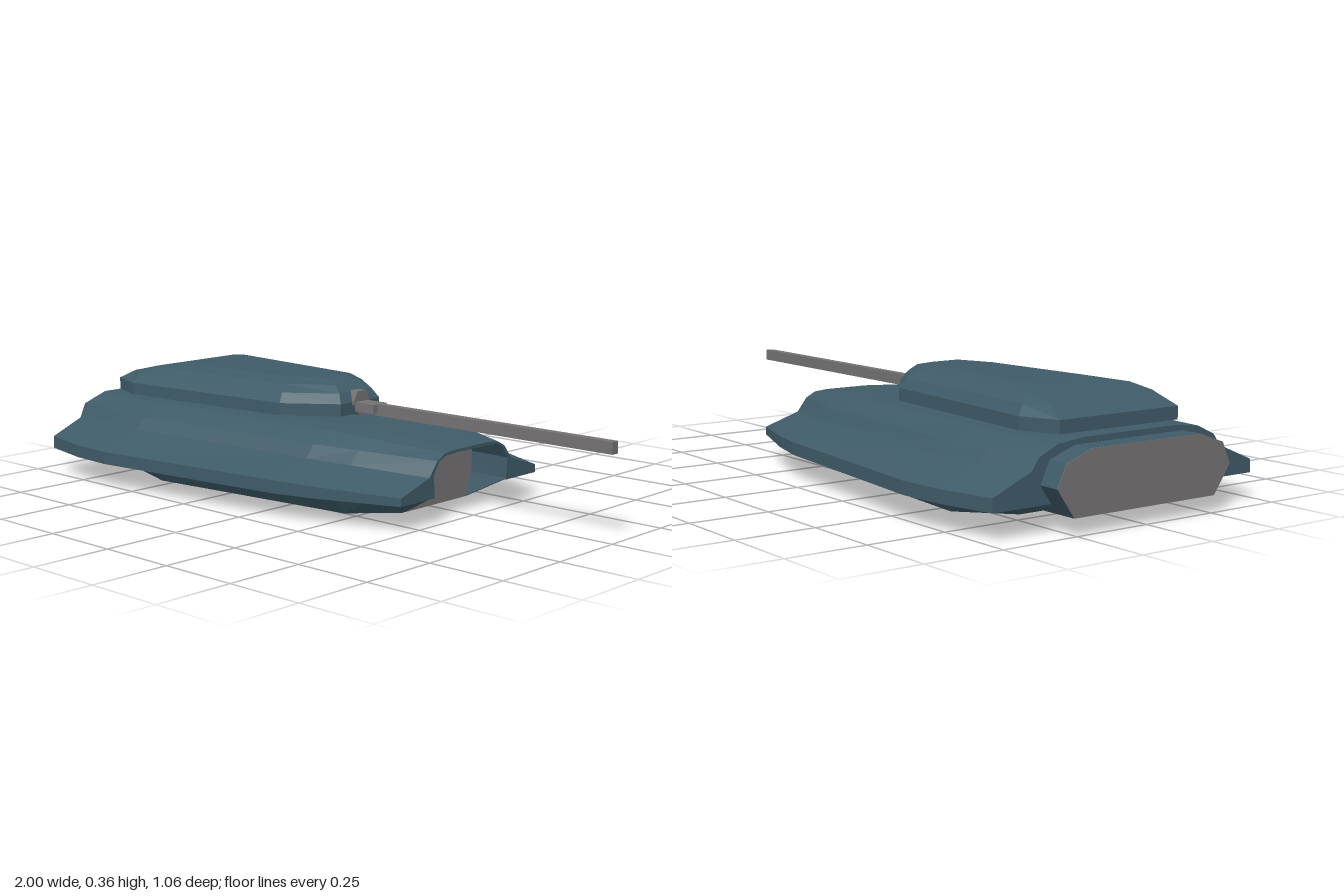
import * as THREE from 'three';

const armour = new THREE.MeshStandardMaterial({ color: 0x3f5b68, flatShading: true, side: THREE.DoubleSide });
armour.name = 'blue grey armour';
const metal = new THREE.MeshStandardMaterial({ color: 0x747272, flatShading: true, side: THREE.DoubleSide });
metal.name = 'grey metal';

// Skins a list of cross-sections (arrays of [x, y, z]) with flat faces.
function loft(sections, { closed = false, capStart = false, capEnd = false } = {}) {
  const pos = [];
  const tri = (a, b, c) => pos.push(...a, ...b, ...c);
  const n = sections[0].length;
  for (let i = 0; i < sections.length - 1; i++) {
    for (let j = 0; j < (closed ? n : n - 1); j++) {
      const k = (j + 1) % n;
      const a = sections[i][j], b = sections[i + 1][j], d = sections[i + 1][k], c = sections[i][k];
      tri(a, b, d);
      tri(a, d, c);
    }
  }
  const first = sections[0], last = sections[sections.length - 1];
  for (let j = 1; j < n - 1; j++) {
    if (capStart) tri(first[0], first[j], first[j + 1]);
    if (capEnd) tri(last[0], last[j + 1], last[j]);
  }
  const geo = new THREE.BufferGeometry();
  geo.setAttribute('position', new THREE.Float32BufferAttribute(pos, 3));
  geo.computeVertexNormals();
  return geo;
}

// Cross-section at x from [z, y] points on the left half, mirrored to the right.
function section(x, half) {
  const left = half.map(([z, y]) => [x, y, z]);
  const right = half.map(([z, y]) => [x, y, -z]).reverse();
  return [...left, ...right];
}

// Same, but running right to left, for undersides.
const underSection = (x, half) => section(x, half).reverse();

export function createModel() {
  const model = new THREE.Group();
  const add = (name, geo, mat, x = 0, y = 0, z = 0) => {
    const mesh = new THREE.Mesh(geo, mat);
    mesh.name = name;
    mesh.position.set(x, y, z);
    model.add(mesh);
    return mesh;
  };

  // Upper hull: [x, skirt half width, skirt edge height, shoulder points]
  const stations = [
    [-0.93, 0.48, 0.12, [[0.35, 0.175], [0.325, 0.21], [0.26, 0.24], [0.17, 0.25]]],
    [-0.75, 0.52, 0.12, [[0.38, 0.175], [0.355, 0.21], [0.265, 0.243], [0.19, 0.25]]],
    [-0.6, 0.53, 0.12, [[0.39, 0.175], [0.36, 0.21], [0.27, 0.245], [0.19, 0.25]]],
    [0.1, 0.45, 0.12, [[0.31, 0.165], [0.28, 0.205], [0.22, 0.24], [0.15, 0.249]]],
    [0.25, 0.41, 0.115, [[0.275, 0.16], [0.24, 0.2], [0.19, 0.23], [0.13, 0.24]]],
    [0.49, 0.32, 0.105, [[0.195, 0.145], [0.16, 0.19], [0.125, 0.208], [0.08, 0.212]]],
  ];
  const hull = stations.map(([x, w, edge, shoulder]) =>
    section(x, [[0.17, 0.08], [w, 0.08], [w, edge], ...shoulder]));
  // The skin turns inward at the nose to form the intake tunnel
  const arch = [[0.17, 0.08], [0.17, 0.08], [0.172, 0.1], [0.175, 0.15], [0.15, 0.188], [0.12, 0.2], [0.07, 0.203]];
  hull.push(section(0.49, arch), section(0.35, arch));
  add('upperHull', loft(hull, { capStart: true }), armour);

  // Lower hull: [x, top half width, bottom half width, bottom height]
  const belly = [
    [-0.89, 0.33, 0.31, 0.075],
    [-0.82, 0.36, 0.3, 0.035],
    [-0.55, 0.39, 0.33, 0],
    [0.2, 0.32, 0.25, 0],
    [0.35, 0.255, 0.155, 0.01],
  ].map(([x, top, bottom, y]) => underSection(x, [[bottom, y], [top, 0.085]].reverse()));
  add('lowerHull', loft(belly, { capStart: true }), armour);

  // Cheeks either side of the intake
  const cheekBack = [[0.17, 0.085], [0.14, 0.01], [0.155, 0.01], [0.255, 0.085]];
  const cheekTip = [[0.17, 0.085], [0.17, 0.085], [0.19, 0.085], [0.19, 0.085]];
  for (const [name, side] of [['leftCheek', 1], ['rightCheek', -1]]) {
    const place = (x, pts) => {
      const row = pts.map(([z, y]) => [x, y, z * side]);
      return side > 0 ? row : row.reverse();
    };
    add(name, loft([place(0.35, cheekBack), place(0.49, cheekTip)]), armour);
  }

  // Intake back plate
  const plate = new THREE.Shape(
    [[0.14, 0.01], ...arch.slice(1)].map(([z, y]) => new THREE.Vector2(z, y))
      .concat([[0.14, 0.01], ...arch.slice(1)].reverse().map(([z, y]) => new THREE.Vector2(-z, y))));
  const intake = add('intakePlate', new THREE.ShapeGeometry(plate), metal, 0.352, 0, 0);
  intake.rotation.y = Math.PI / 2;

  // Rear engine pod with its grey end face
  const podHalf = [[0.26, 0.05], [0.32, 0.135], [0.29, 0.2], [0.2, 0.232]];
  add('enginePod', loft([section(-0.998, podHalf), section(-0.85, podHalf)], { closed: true }), armour);
  add('exhaustPlate', loft([section(-1, podHalf), section(-0.998, podHalf)],
    { closed: true, capStart: true }), metal);

  // Turret: stacked outlines, [height, left half corners as [x, z] from front to rear]
  const base = [[0.035, 0.09], [-0.12, 0.205], [-0.77, 0.265], [-0.89, 0.22]];
  const ring = (y, pts) => [
    ...pts.map(([x, z]) => [x, y, z]),
    ...pts.map(([x, z]) => [x, y, -z]).reverse(),
  ];
  const turret = [
    ring(0.256, base),
    ring(0.295, base),
    ring(0.325, [[0.015, 0.075], [-0.13, 0.185], [-0.76, 0.243], [-0.83, 0.2]]),
    ring(0.347, [[-0.015, 0.06], [-0.15, 0.15], [-0.71, 0.2], [-0.74, 0.17]]),
    ring(0.36, [[-0.08, 0.05], [-0.2, 0.095], [-0.58, 0.125], [-0.61, 0.11]]),
  ];
  add('turret', loft(turret, { closed: true, capStart: true, capEnd: true }), armour);

  // Thin bearing plate under the turret
  const bearing = base.map(([x, z]) => [-0.43 + (x + 0.43) * 0.92, z * 0.8]);
  add('turretBearing', loft([ring(0.247, bearing), ring(0.256, bearing)], { closed: true }), metal);

  // Gun
  const mantletHalf = [[0.012, 0.25], [0.038, 0.288], [0.035, 0.3], [0.02, 0.328]];
  add('gunMantlet', loft([section(0, mantletHalf), section(0.042, mantletHalf)],
    { closed: true, capStart: true, capEnd: true }), metal);
  add('gunSleeve', new THREE.BoxGeometry(0.08, 0.03, 0.06), metal, 0.08, 0.28, 0);
  add('gunBarrel', new THREE.BoxGeometry(0.89, 0.036, 0.026), metal, 0.555, 0.277, 0);

  return model;
}
